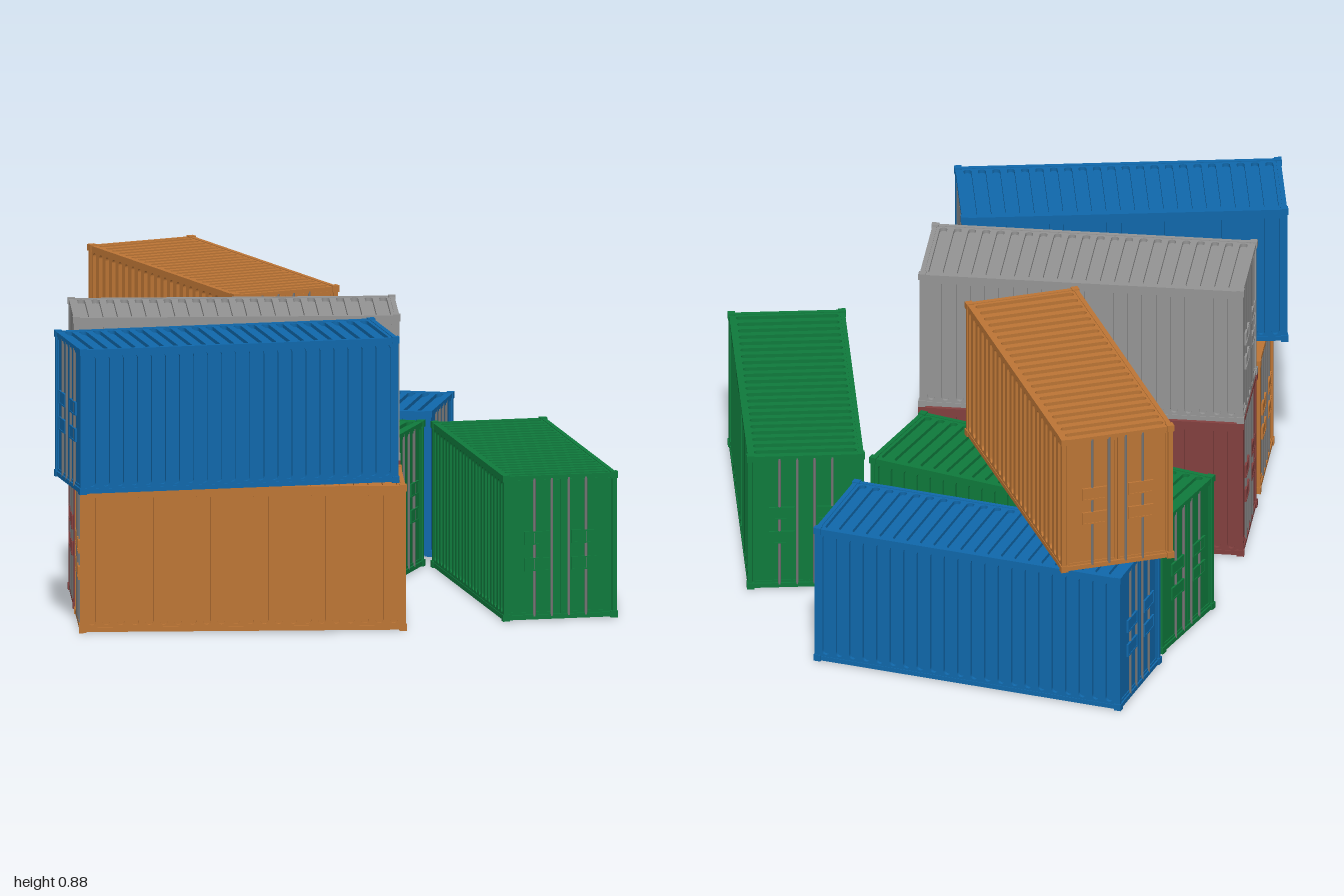
import * as THREE from 'three';

const L = 0.98, W = 0.353, H = 0.4425; // container size
const RAIL = 0.014, INSET = 0.003, DEPTH = 0.011, RIBS = 22;

function material(name, color) {
  const m = new THREE.MeshStandardMaterial({ color });
  m.name = name;
  return m;
}

// Flat panel pierced by a row of round-ended slots, lying in XY and facing +z
function slottedPanel(w, h) {
  const shape = new THREE.Shape();
  shape.moveTo(-w / 2, -h / 2).lineTo(w / 2, -h / 2).lineTo(w / 2, h / 2).lineTo(-w / 2, h / 2).closePath();
  const pitch = w / RIBS, r = pitch * 0.27, y = h / 2 - 0.006 - r;
  for (let i = 0; i < RIBS; i++) {
    const x = -w / 2 + pitch * (i + 0.5);
    const slot = new THREE.Path();
    slot.absarc(x, y, r, 0, Math.PI, false);
    slot.absarc(x, -y, r, Math.PI, Math.PI * 2, false);
    slot.closePath();
    shape.holes.push(slot);
  }
  return new THREE.ExtrudeGeometry(shape, { depth: DEPTH, bevelEnabled: false, curveSegments: 5 });
}

// Rectangular ring, used for door borders and handle plates
function ring(w, h, t, depth) {
  const shape = new THREE.Shape();
  shape.moveTo(-w / 2, -h / 2).lineTo(w / 2, -h / 2).lineTo(w / 2, h / 2).lineTo(-w / 2, h / 2).closePath();
  const a = w / 2 - t, b = h / 2 - t;
  const hole = new THREE.Path();
  hole.moveTo(-a, -b).lineTo(-a, b).lineTo(a, b).lineTo(a, -b).closePath();
  shape.holes.push(hole);
  return new THREE.ExtrudeGeometry(shape, { depth, bevelEnabled: false });
}

export function createModel() {
  const paint = {
    blue: material('blue paint', 0x1068ab),
    orange: material('orange paint', 0xbc7535),
    green: material('green paint', 0x0f7a3c),
    gray: material('gray paint', 0x949494),
    red: material('dark red paint', 0x82403f),
  };
  const steel = material('lock rod steel', 0x757575);

  const inner = { l: L - 2 * (RAIL + INSET), w: W - 2 * (RAIL + INSET), h: H - 2 * (RAIL + INSET) };
  const skin = 0.005; // how far panels sit behind the outer limits
  const geo = {
    core: new THREE.BoxGeometry(L - 0.03, H - skin - DEPTH - INSET, W - 2 * (skin + DEPTH)),
    side: slottedPanel(inner.l, inner.h),
    roof: slottedPanel(inner.l, inner.w),
    railX: new THREE.BoxGeometry(L - 2 * INSET, RAIL, RAIL),
    railY: new THREE.BoxGeometry(RAIL, H - 2 * INSET, RAIL),
    railZ: new THREE.BoxGeometry(RAIL, RAIL, W - 2 * INSET),
    corner: new THREE.BoxGeometry(0.022, 0.02, 0.022),
    door: new THREE.BoxGeometry(inner.w / 2 - 0.002, inner.h, 0.007),
    doorRim: ring(inner.w / 2 - 0.004, inner.h - 0.002, 0.007, 0.003),
    rod: new THREE.CylinderGeometry(0.0042, 0.0042, inner.h + 0.01, 8),
    plate: new THREE.BoxGeometry(0.076, 0.038, 0.004),
    plateRim: ring(0.078, 0.04, 0.004, 0.006),
  };

  function add(parent, name, g, m, x, y, z) {
    const mesh = new THREE.Mesh(g, m);
    mesh.name = name;
    mesh.position.set(x, y, z);
    parent.add(mesh);
    return mesh;
  }

  // Door pair facing +z
  function doorEnd(m) {
    const end = new THREE.Group();
    end.name = 'doorEnd';
    for (const s of [-1, 1]) {
      add(end, 'door', geo.door, m, s * inner.w / 4, H / 2, L / 2 - 0.0135);
      add(end, 'doorRim', geo.doorRim, m, s * inner.w / 4, H / 2, L / 2 - 0.01);
      for (const x of [0.026, 0.079]) add(end, 'lockRod', geo.rod, steel, s * x, H / 2, L / 2 - 0.006);
      for (const y of [0.17, 0.25]) {
        add(end, 'handlePlate', geo.plate, m, s * 0.072, y, L / 2 - 0.004);
        add(end, 'handleRim', geo.plateRim, m, s * 0.072, y, L / 2 - 0.006);
      }
    }
    return end;
  }

  function container(m) {
    const c = new THREE.Group();
    const x = L / 2 - INSET - RAIL / 2, z = W / 2 - INSET - RAIL / 2, lo = INSET + RAIL / 2, hi = H - lo;
    add(c, 'core', geo.core, m, 0, INSET + (H - skin - DEPTH - INSET) / 2, 0);

    // Corrugated walls and roof
    add(c, 'sideWall', geo.side, m, 0, H / 2, W / 2 - skin - DEPTH);
    add(c, 'sideWall', geo.side, m, 0, H / 2, -W / 2 + skin + DEPTH).rotation.y = Math.PI;
    add(c, 'roof', geo.roof, m, 0, H - skin - DEPTH, 0).rotation.x = -Math.PI / 2;

    // Frame rails, posts and corner blocks
    for (const a of [-1, 1]) {
      for (const y of [lo, hi]) {
        add(c, 'longRail', geo.railX, m, 0, y, a * z);
        add(c, 'endRail', geo.railZ, m, a * x, y, 0);
      }
      for (const b of [-1, 1]) {
        add(c, 'cornerPost', geo.railY, m, a * x, H / 2, b * z);
        for (const y of [0.01, H - 0.01]) add(c, 'cornerBlock', geo.corner, m, a * (L / 2 - 0.011), y, b * (W / 2 - 0.011));
      }
      const end = doorEnd(m);
      end.rotation.y = a * Math.PI / 2;
      c.add(end);
    }
    return c;
  }

  // Stack: name, colour, x, level, z, yaw in degrees
  const stack = [
    ['lowerOrangeContainer', 'orange', -0.29, 0, 0.678, 0],
    ['lowerRedContainer', 'red', -0.29, 0, 0.255, 0],
    ['lowerGreenContainer', 'green', -0.215, 0, -0.272, -19.5],
    ['lowerBlueContainer', 'blue', -0.103, 0, -0.71, -13.6],
    ['sideGreenContainer', 'green', 0.581, 0, 0.198, -79.8],
    ['upperBlueContainer', 'blue', -0.333, 1, 0.731, 10.2],
    ['upperGrayContainer', 'gray', -0.29, 1, 0.255, 0],
    ['upperOrangeContainer', 'orange', -0.32, 1, -0.463, -66],
  ];
  const model = new THREE.Group();
  model.name = 'containerStack';
  for (const [name, color, x, level, z, yaw] of stack) {
    const c = container(paint[color]);
    c.name = name;
    c.position.set(x, level * H, z);
    c.rotation.y = THREE.MathUtils.degToRad(yaw);
    model.add(c);
  }
  return model;
}
